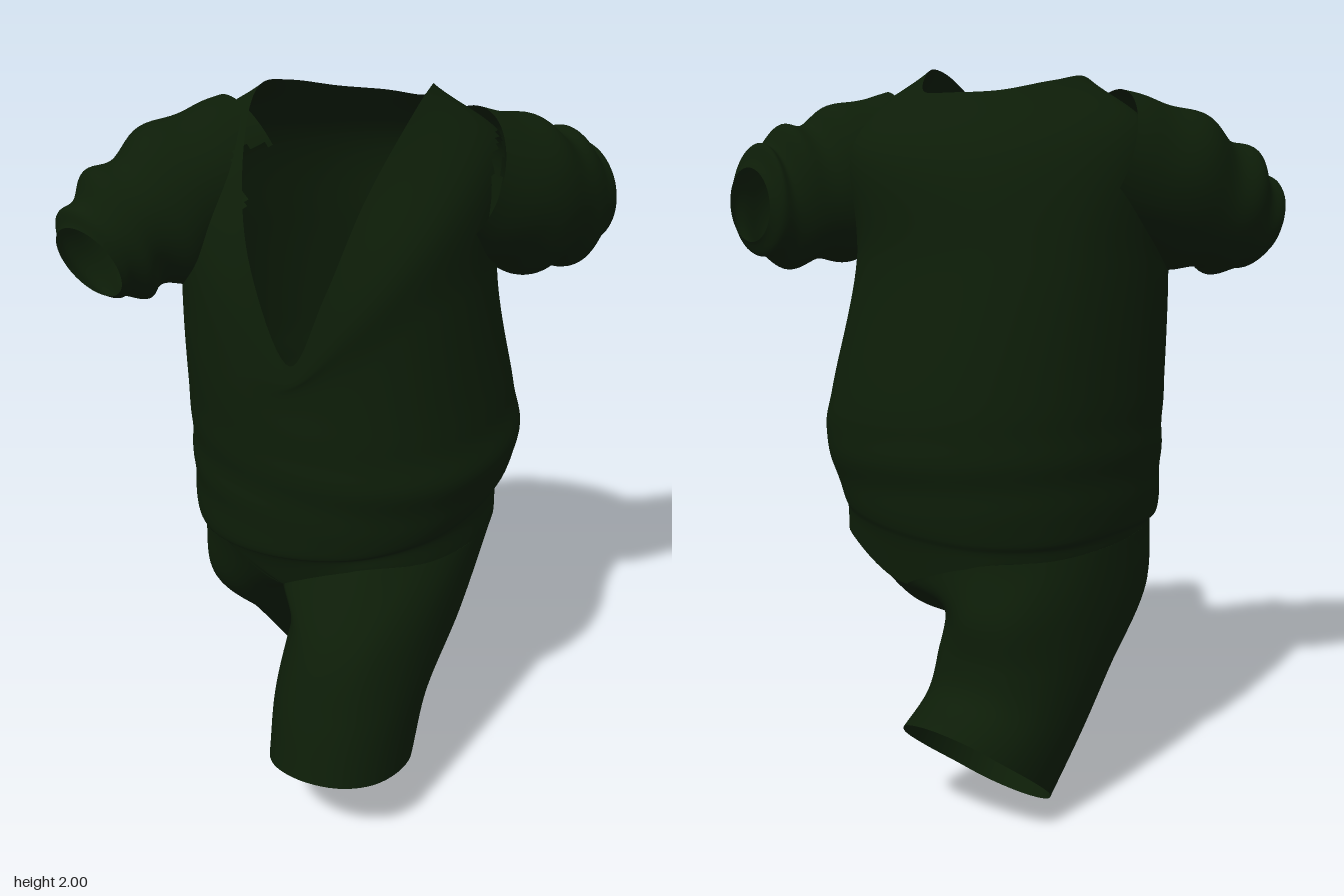
import * as THREE from 'three';

const V = (x, y, z) => new THREE.Vector3(x, y, z);
const STEPS = 12; // control points round each ring
const cloth = new THREE.MeshStandardMaterial({ color: 0x0d1d08, side: THREE.DoubleSide });

// A ring of control points; angle 0 is the front, a quarter turn is +x
const ring = (fn) => Array.from({ length: STEPS }, (_, i) => {
  const a = (i / STEPS) * Math.PI * 2;
  return fn(Math.sin(a), Math.cos(a));
});
const closed = (points) => new THREE.CatmullRomCurve3(points, true, 'centripetal');

// Smooth open tube through closed rings; ripple moves points, skip cuts holes
function loft(name, rings, nu, nv, ripple, skip) {
  const hoops = rings.map(closed);
  const pos = [], index = [], pts = [];
  for (let i = 0; i < nu; i++) {
    const column = new THREE.CatmullRomCurve3(hoops.map((h) => h.getPoint(i / nu)));
    for (let j = 0; j <= nv; j++) {
      const p = column.getPoint(j / nv);
      if (ripple) ripple(p, (i / nu) * Math.PI * 2, j / nv);
      pts.push(p);
      pos.push(p.x, p.y, p.z);
    }
  }
  for (let i = 0; i < nu; i++) {
    for (let j = 0; j < nv; j++) {
      const a = i * (nv + 1) + j, b = ((i + 1) % nu) * (nv + 1) + j;
      if (skip && skip(pts[a].clone().add(pts[b + 1]).multiplyScalar(0.5))) continue;
      index.push(a, b, b + 1, a, b + 1, a + 1);
    }
  }
  const g = new THREE.BufferGeometry();
  g.setAttribute('position', new THREE.Float32BufferAttribute(pos, 3));
  g.setIndex(index);
  g.computeVertexNormals();
  const mesh = new THREE.Mesh(g, cloth);
  mesh.name = name;
  return mesh;
}

// Tilted oval: front point (zf, yf), back point (zb, yb), x range
const oval = ([zf, yf, zb, yb, x0, x1]) => ring((s, c) => V(
  (x0 + x1) / 2 + ((x1 - x0) / 2) * Math.sign(s) * Math.abs(s) ** 0.9,
  (yf + yb) / 2 + ((yf - yb) / 2) * c,
  (zf + zb) / 2 + ((zf - zb) / 2) * Math.sign(c) * Math.abs(c) ** 0.9));

// Top of the trousers, dipping between the legs at front and back
const pelvis = oval([0.36, 0.76, -0.485, 0.72, -0.41, 0.42]);
pelvis[0].set(0.005, 0.66, 0.325);
pelvis[6].set(0.005, 0.64, -0.465);

// Trouser leg: half the pelvis rim (by turns in degrees) closed by a crotch curve
const TURNS = [30, 52, 72, 90, 108, 128, 150, 180];
const CROTCH = [[0.585, -0.32], [0.565, -0.06], [0.59, 0.2]];
function leg(name, side, sections) {
  const rim = closed(pelvis);
  const half = TURNS.map((t) => rim.getPoint(side > 0 ? t / 360 : 1 - t / 360));
  const top = [...half, ...CROTCH.map(([y, z]) => V(0.005, y, z)), pelvis[0]];
  if (side < 0) top.push(...top.splice(1).reverse());
  return loft(name, [...sections.map(oval), top], 64, 40);
}

// Gathered short sleeve along [x, y, z, height, width] stations, trimmed inside the body
function sleeve(name, stations, phase) {
  const centres = stations.map(([x, y, z]) => V(x, y, z));
  const path = new THREE.CatmullRomCurve3(centres);
  const rings = stations.map(([, , , h, w], k) => {
    const d = path.getTangent(k / (stations.length - 1));
    const e1 = V(0, 1, 0).addScaledVector(d, -d.y).normalize();
    const e2 = d.clone().cross(e1);
    return ring((s, c) => centres[k].clone().addScaledVector(e1, h * c).addScaledVector(e2, w * s));
  });
  return loft(name, rings, 72, 48, (p, a, t) => {
    const fold = Math.sin(t * 22 + phase + 1.6 * Math.sin(a + phase)) * (0.55 + 0.45 * Math.sin(2 * a + phase));
    const amount = 0.016 * Math.sin(Math.PI * t) * fold;
    p.addScaledVector(p.clone().sub(path.getPoint(t)).normalize(), amount);
  }, (p) => p.y < 1.84 && Math.hypot(p.x / 0.4, (p.z + 0.05) / 0.36) < 0.88);
}

export function createModel() {
  const model = new THREE.Group();
  model.name = 'outfit';

  // Twisted shoulder line and V neck, both counted from the front towards +x
  const shoulder = [
    [0.06, 1.3, 0.386], [0.23, 1.48, 0.335], [0.34, 1.66, 0.2], [0.4, 1.82, -0.06],
    [0.385, 1.81, -0.25], [0.25, 1.79, -0.375], [0.02, 1.77, -0.405], [-0.2, 1.77, -0.335],
    [-0.37, 1.81, -0.14], [-0.41, 1.83, 0.04], [-0.35, 1.74, 0.23], [-0.18, 1.51, 0.345],
  ].map((p) => V(...p));
  const neck = [
    [0.07, 1.35, 0.38], [0.155, 1.54, 0.35], [0.21, 1.77, 0.24], [0.25, 1.97, 0.04],
    [0.23, 2.0, -0.08], [0.13, 1.935, -0.23], [0, 1.93, -0.265], [-0.13, 1.935, -0.225],
    [-0.22, 1.96, -0.12], [-0.23, 1.97, 0.02], [-0.18, 1.86, 0.18], [-0.08, 1.6, 0.33],
  ].map((p) => V(...p));
  const chest = oval([0.388, 1.5, -0.44, 1.5, -0.435, 0.41]);
  chest.forEach((p) => { if (p.z > 0) p.y -= 0.26 * (p.z / 0.388) ** 3; });

  // Shirt hem rises towards +x and dips at the front centre
  const hem = (section) => oval(section)
    .map((p) => V(p.x, p.y + 0.08 * p.x - 0.15 * Math.max(p.z, 0), p.z));

  const armholes = [V(-0.37, 1.7, 0.13), V(0.37, 1.72, -0.2)];
  model.add(loft('shirtBody', [
    pelvis,
    hem([0.364, 0.822, -0.49, 0.775, -0.414, 0.422]),
    hem([0.38, 0.835, -0.5, 0.8, -0.425, 0.432]),
    oval([0.388, 0.9, -0.515, 0.9, -0.435, 0.455]),
    oval([0.392, 1.0, -0.53, 1.0, -0.44, 0.482]),
    oval([0.392, 1.12, -0.522, 1.12, -0.442, 0.46]),
    chest, shoulder, neck,
  ], 120, 120, (p, a) => {
    // faint diagonal creases round the waist
    const fade = Math.exp(-(((p.y - 0.96) / 0.13) ** 2));
    const n = 0.0025 * fade * Math.sin(p.y * 42 + 3 * Math.sin(a + 0.6));
    p.x += n * Math.sin(a);
    p.z += n * Math.cos(a);
  }, (p) => armholes.some((c) => c.distanceTo(p) < 0.15)));

  // Right arm swings forward, left arm swings back
  model.add(sleeve('rightSleeve', [
    [-0.28, 1.76, 0, 0.19, 0.19], [-0.35, 1.71, 0.13, 0.205, 0.2], [-0.415, 1.65, 0.27, 0.2, 0.185],
    [-0.455, 1.61, 0.37, 0.175, 0.16], [-0.475, 1.58, 0.44, 0.145, 0.14], [-0.48, 1.565, 0.475, 0.11, 0.11],
  ], 0.4));
  model.add(sleeve('leftSleeve', [
    [0.3, 1.76, -0.1, 0.19, 0.19], [0.385, 1.7, -0.24, 0.205, 0.19], [0.44, 1.66, -0.355, 0.195, 0.16],
    [0.475, 1.64, -0.45, 0.175, 0.13], [0.487, 1.635, -0.51, 0.145, 0.12], [0.49, 1.635, -0.54, 0.1, 0.09],
  ], 2.1));

  // Left leg steps forward, right leg trails behind
  model.add(leg('leftLeg', 1, [
    [0.6, 0.25, 0.15, 0.15, 0.035, 0.405],
    [0.55, 0.42, 0.06, 0.33, 0.02, 0.41],
    [0.475, 0.6, -0.17, 0.47, 0.012, 0.415],
  ]));
  model.add(leg('rightLeg', -1, [
    [-0.22, 0, -0.6, 0.32, -0.385, 0.0],
    [-0.1, 0.16, -0.5, 0.38, -0.4, 0.003],
    [0.05, 0.34, -0.475, 0.46, -0.41, 0.005],
    [0.25, 0.55, -0.475, 0.59, -0.415, 0.0],
  ]));
  return model;
}
